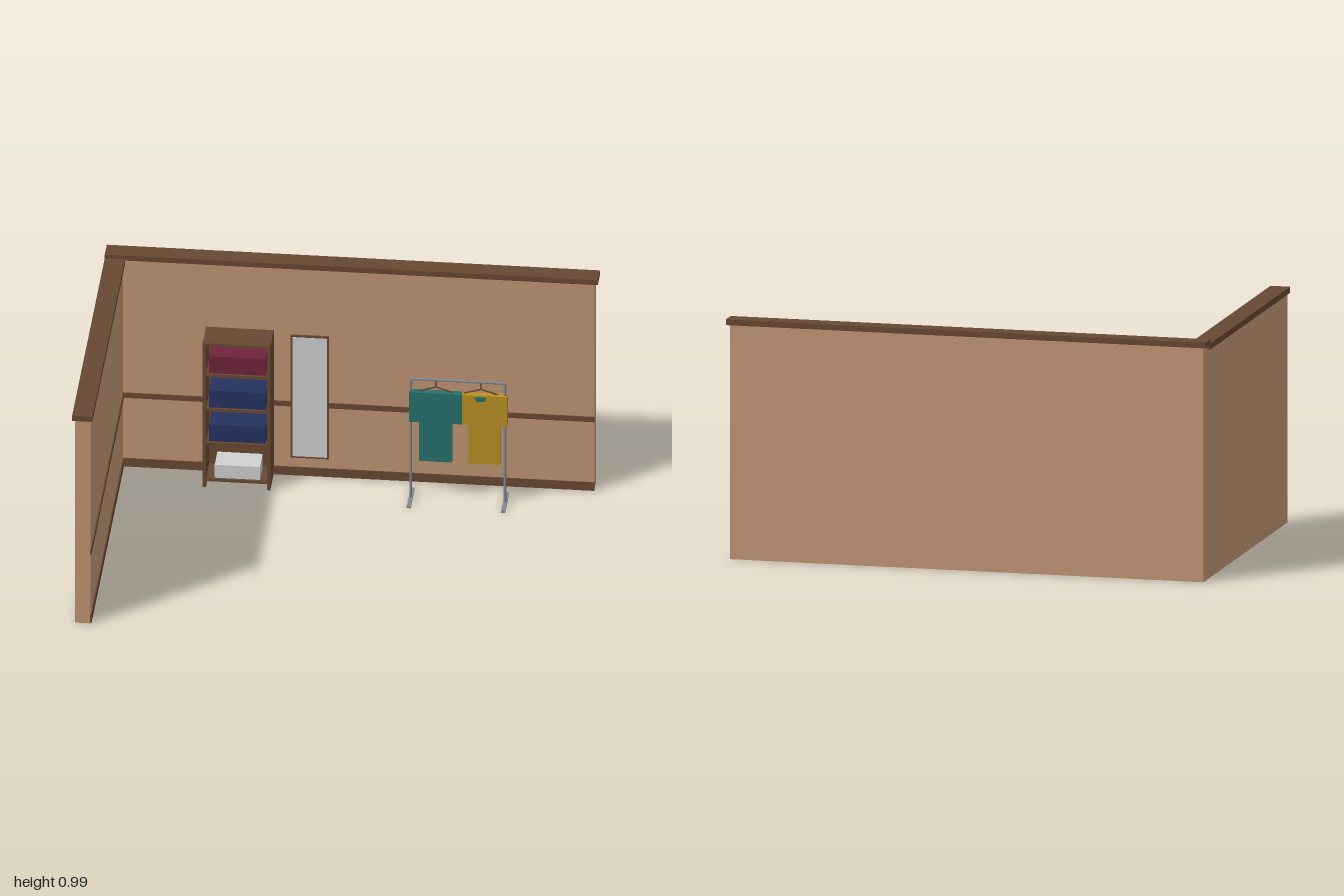
import * as THREE from 'three';

const mat = (name, color) => {
  const m = new THREE.MeshStandardMaterial({ color });
  m.name = name;
  return m;
};

export function createModel() {
  const wall = mat('tan wall', 0xc09473);
  const wood = mat('dark wood', 0x674832);
  const white = mat('pale grey', 0xcfcfcf);
  const metal = mat('grey metal', 0x83888e);
  const teal = mat('teal cloth', 0x28706b);
  const yellow = mat('yellow cloth', 0xba8f22);
  const maroon = mat('maroon fabric', 0x71243c);
  const navy = mat('navy fabric', 0x263261);

  const root = new THREE.Group();
  root.name = 'wardrobeCorner';
  const group = (name) => {
    const g = new THREE.Group();
    g.name = name;
    root.add(g);
    return g;
  };
  const add = (parent, name, geometry, material) => {
    const m = new THREE.Mesh(geometry, material);
    m.name = name;
    parent.add(m);
    return m;
  };
  // Box given by its limits on each axis
  const box = (parent, name, material, [x0, x1], [y0, y1], [z0, z1]) => {
    const m = add(parent, name, new THREE.BoxGeometry(x1 - x0, y1 - y0, z1 - z0), material);
    m.position.set((x0 + x1) / 2, (y0 + y1) / 2, (z0 + z1) / 2);
    return m;
  };

  // Walls with caps, baseboards and rails
  const walls = group('walls');
  box(walls, 'backWall', wall, [-0.99, 0.985], [0, 0.962], [-0.667, -0.602]);
  box(walls, 'backCap', wood, [-1, 1], [0.962, 0.985], [-0.676, -0.596]);
  box(walls, 'sideWall', wall, [-0.99, -0.927], [0, 0.943], [-0.602, 0.67]);
  box(walls, 'sideCap', wood, [-1, -0.918], [0.943, 0.968], [-0.602, 0.676]);
  for (const [name, y] of [['baseboard', [0.001, 0.039]], ['rail', [0.321, 0.344]]]) {
    box(walls, name + 'Back', wood, [-0.927, 0.985], y, [-0.603, -0.597]);
    box(walls, name + 'Side', wood, [-0.928, -0.922], y, [-0.602, 0.67]);
  }

  // Open shelf unit
  const shelf = group('shelfUnit');
  const depth = [-0.602, -0.468];
  box(shelf, 'leftPanel', wood, [-0.329, -0.315], [0, 0.67], depth);
  box(shelf, 'rightPanel', wood, [-0.59, -0.576], [0, 0.67], depth);
  box(shelf, 'backPanel', wood, [-0.576, -0.329], [0.028, 0.66], [-0.602, -0.594]);
  for (const y of [0.028, 0.198, 0.355, 0.515, 0.658]) {
    box(shelf, 'shelfBoard', wood, [-0.576, -0.329], [y, y + 0.012], depth);
  }

  // Storage boxes
  const storage = [
    [maroon, 0.527, 0.605, 0.115], [navy, 0.367, 0.445, 0.115],
    [navy, 0.21, 0.286, 0.115], [white, 0.04, 0.1, 0.092],
  ];
  for (const [m, y0, y1, half] of storage) {
    box(shelf, 'storageBox', m, [-0.45 - half, -0.45 + half], [y0, y1], [-0.585, -0.478]);
  }

  // Wall mirror
  const mirror = group('mirror');
  box(mirror, 'mirrorFrame', wood, [-0.246, -0.09], [0.085, 0.655], [-0.602, -0.594]);
  box(mirror, 'mirrorGlass', white, [-0.238, -0.098], [0.093, 0.647], [-0.595, -0.592]);

  // Clothes rack: bent tube on two flat feet
  const rack = group('clothesRack');
  const RZ = -0.459, L = 0.255, R = 0.638, T = 0.561, c = 0.014;
  const v = (x, y) => new THREE.Vector3(x, y, RZ);
  const path = new THREE.CurvePath();
  path.add(new THREE.LineCurve3(v(L, 0.004), v(L, T - c)));
  path.add(new THREE.QuadraticBezierCurve3(v(L, T - c), v(L, T), v(L + c, T)));
  path.add(new THREE.LineCurve3(v(L + c, T), v(R - c, T)));
  path.add(new THREE.QuadraticBezierCurve3(v(R - c, T), v(R, T), v(R, T - c)));
  path.add(new THREE.LineCurve3(v(R, T - c), v(R, 0.004)));
  add(rack, 'rackTube', new THREE.TubeGeometry(path, 240, 0.0055, 10), metal);
  for (const x of [L, R]) {
    box(rack, 'rackFoot', metal, [x - 0.008, x + 0.008], [0, 0.009], [RZ - 0.078, RZ + 0.076]);
  }

  // T-shirts, each on a hanger
  const shirt = (name, material, x, half, body) => {
    const g = group(name);
    const s = new THREE.Shape([
      [-body, 0.188], [body, 0.188], [body, 0.368], [half, 0.368],
      [half, 0.505], [-half, 0.505], [-half, 0.368], [-body, 0.368],
    ].map(([px, py]) => new THREE.Vector2(px, py)));
    add(g, 'shirtCloth', new THREE.ExtrudeGeometry(s, { depth: 0.03, bevelEnabled: false }), material)
      .position.set(x, 0, RZ - 0.015);
    const rod = (pts) => {
      const line = new THREE.CurvePath();
      for (let i = 1; i < pts.length; i++) line.add(new THREE.LineCurve3(v(...pts[i - 1]), v(...pts[i])));
      add(g, 'hangerRod', new THREE.TubeGeometry(line, 24, 0.003, 6), wood);
    };
    rod([[x - 0.07, 0.506], [x, 0.528], [x + 0.07, 0.506]]);
    rod([[x, 0.528], [x, 0.56]]);
    return g;
  };
  shirt('tealShirt', teal, 0.357, 0.107, 0.067);
  const second = shirt('yellowShirt', yellow, 0.556, 0.092, 0.065);
  second.children.slice(1).forEach((rod) => { rod.position.x = -0.016; });

  // Teal chest patch on the yellow shirt
  const patch = new THREE.Shape([[0.523, 0.479], [0.557, 0.479], [0.565, 0.499], [0.515, 0.499]]
    .map(([x, y]) => new THREE.Vector2(x, y)));
  add(second, 'chestPatch', new THREE.ExtrudeGeometry(patch, { depth: 0.003, bevelEnabled: false }), teal)
    .position.z = RZ + 0.0145;

  return root;
}
